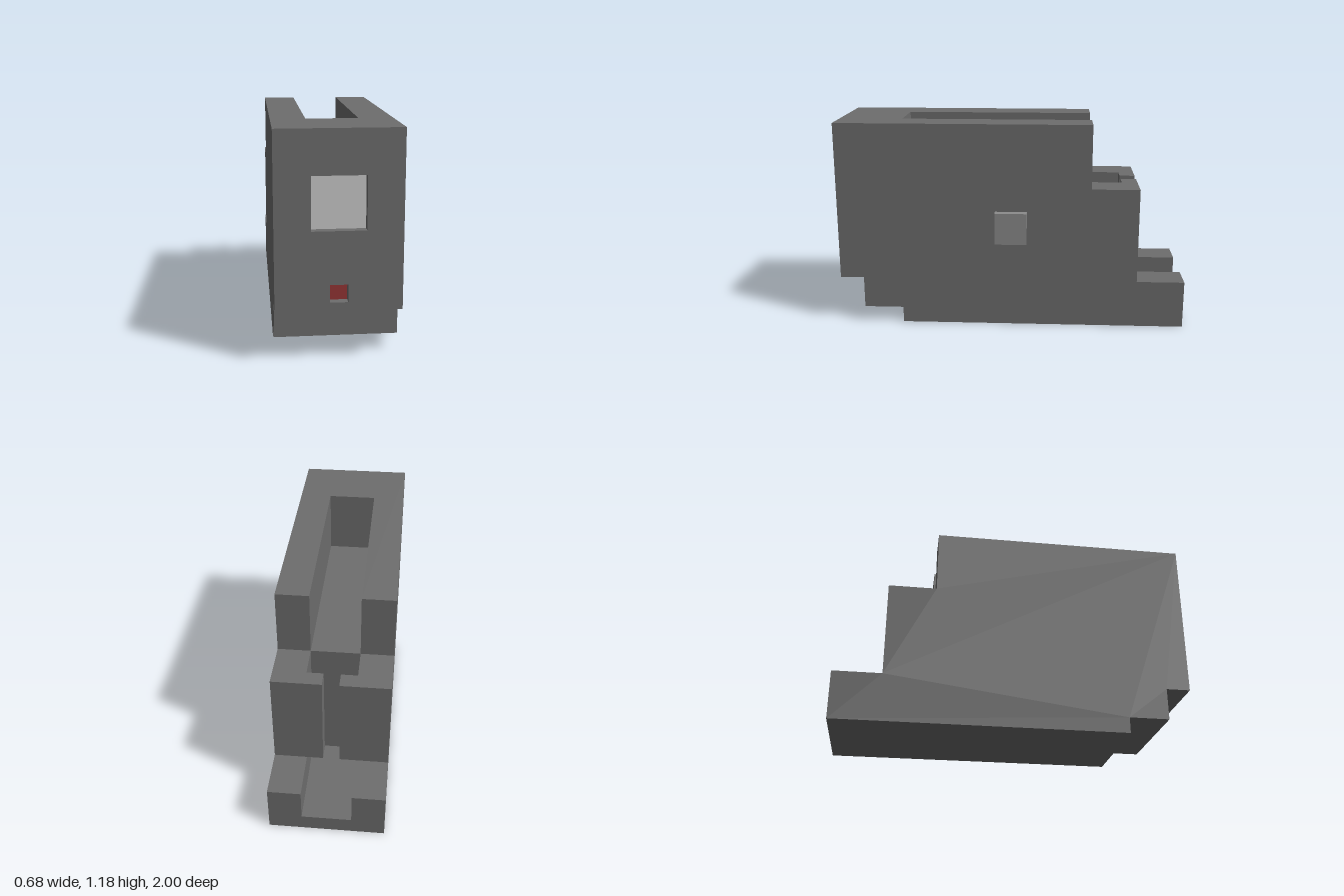
import * as THREE from 'three';

const U = 1 / 22; // grid step the whole model snaps to
const X0 = -7.5;  // right-hand face of the body, in grid steps

const material = (color) => new THREE.MeshStandardMaterial({ color, flatShading: true });

export function createModel() {
  const group = new THREE.Group();
  const bodyMat = material(0x6e6e6e);
  const buttonMat = material(0x8c8c8c);
  const screenMat = material(0xcccccc);
  const redMat = material(0x953434);

  const add = (name, geometry, mat) => {
    const mesh = new THREE.Mesh(geometry, mat);
    mesh.name = name;
    group.add(mesh);
  };

  // Box between grid limits; x is counted from the right-hand face
  const box = (name, [xa, xb], [ya, yb], [za, zb], mat = bodyMat) => {
    const g = new THREE.BoxGeometry((xb - xa) * U, (yb - ya) * U, (zb - za) * U);
    g.translate((X0 + (xa + xb) / 2) * U, (ya + yb) / 2 * U, (za + zb) / 2 * U);
    add(name, g, mat);
  };

  // Side profile of (z, y) points extruded across x
  const slab = (name, [xa, xb], profile) => {
    const shape = new THREE.Shape(profile.map(([z, y]) => new THREE.Vector2(z * U, y * U)));
    const g = new THREE.ExtrudeGeometry(shape, { depth: (xb - xa) * U, bevelEnabled: false });
    g.rotateY(-Math.PI / 2);
    g.translate((X0 + xb) * U, 0, 0);
    add(name, g, bodyMat);
  };

  // Stepped side walls
  const wall = [[-22, 0], [14, 0], [14, 2], [19, 2], [19, 6], [22, 6], [22, 26],
    [-10, 26], [-10, 18], [-16, 18], [-16, 6], [-22, 6]];
  slab('rightWall', [0, 4], wall);
  slab('leftWall', [10, 14], wall);

  // Core between the walls: top slot floor, rear shaft and rear channel
  slab('core', [4, 10], [[-22, 0], [14, 0], [14, 2], [19, 2], [19, 6], [20, 6], [20, 26],
    [14, 26], [14, 18], [-10, 18], [-10, 2], [-22, 2]]);

  // Rear flanges leaving a narrow gap into the shaft
  box('rightFlange', [4, 6], [6, 18], [-16, -14]);
  box('leftFlange', [8, 10], [6, 18], [-16, -14]);

  // Front plate around the two recesses
  box('frontPlateBottom', [4, 10], [6, 7], [20, 22]);
  box('frontPlateRight', [4, 6], [7, 9], [20, 22]);
  box('frontPlateLeft', [8, 10], [7, 9], [20, 22]);
  box('frontPlateMiddle', [4, 10], [9, 15], [20, 22]);
  box('frontPlateTop', [4, 10], [21, 26], [20, 22]);

  // Recessed panels and side button
  box('screen', [4, 10], [15, 21], [20, 21], screenMat);
  box('redPanel', [6, 8], [7, 9], [20, 21], redMat);
  box('sideButton', [14, 15], [11, 15], [-2, 2], buttonMat);

  return group;
}
